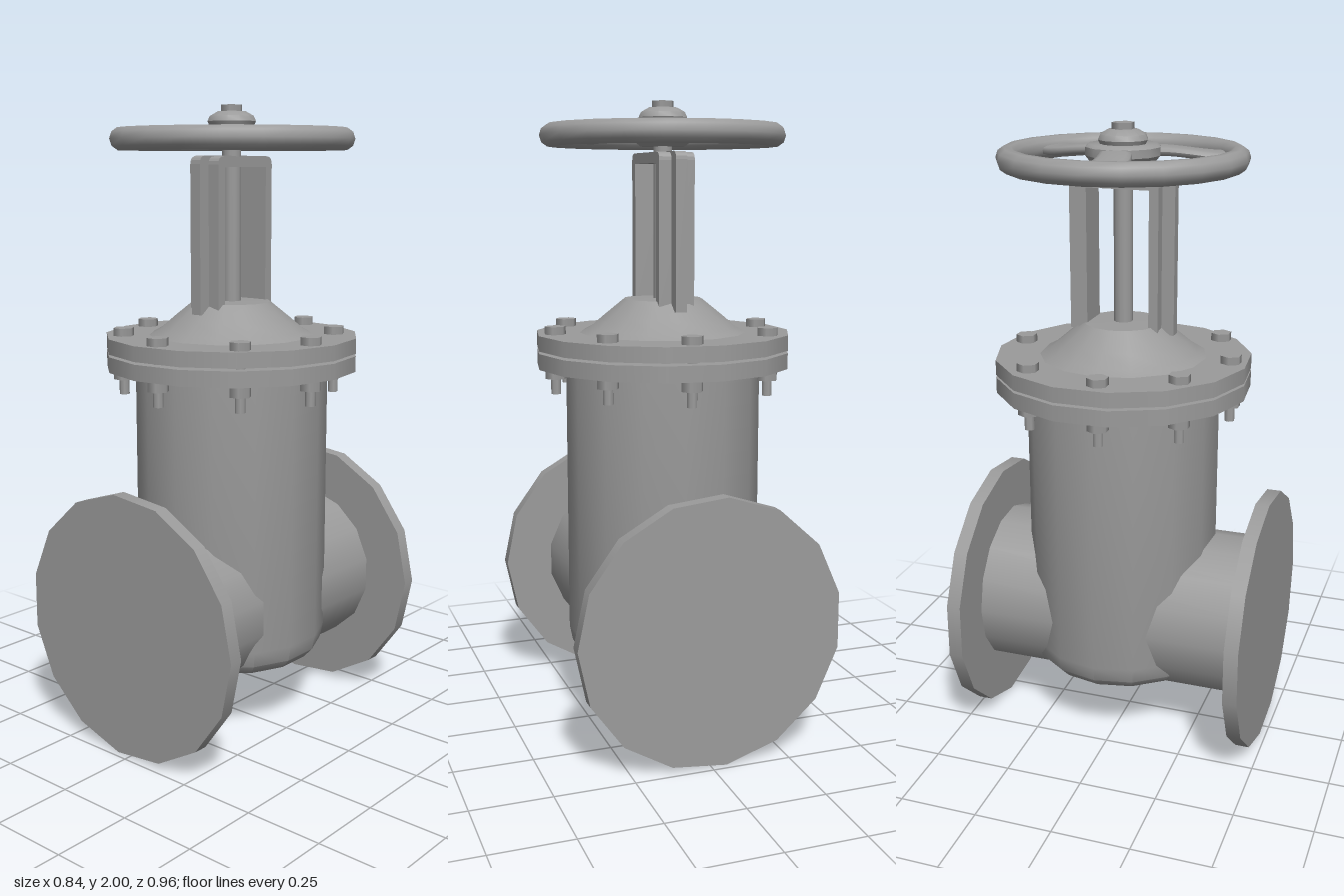
import * as THREE from 'three';
import { toCreasedNormals } from 'three/addons/utils/BufferGeometryUtils.js';

const SIDES = 15;
const material = new THREE.MeshStandardMaterial({ color: 0x9b9b9b });

function add(parent, name, geometry, x = 0, y = 0, z = 0) {
  const mesh = new THREE.Mesh(geometry, material);
  mesh.name = name;
  mesh.position.set(x, y, z);
  parent.add(mesh);
  return mesh;
}

// Cylinder whose first corner lies on +x
function disc(radius, height, sides = SIDES) {
  return new THREE.CylinderGeometry(radius, radius, height, sides, 1, false, Math.PI / 2);
}

// Turned part from [radius, y] pairs, listed bottom to top
function turned(profile, sides = SIDES) {
  const points = profile.map(([r, y]) => new THREE.Vector2(r, y));
  return toCreasedNormals(new THREE.LatheGeometry(points, sides, -Math.PI / 2), 0.65);
}

// Upside-down U in the z-y plane, given a width along x
function arch(outer, inner, bottom, top, innerTop, width, round) {
  const s = new THREE.Shape();
  s.moveTo(-outer, bottom);
  s.lineTo(-outer, top - round);
  s.quadraticCurveTo(-outer, top, -outer + round, top);
  s.lineTo(outer - round, top);
  s.quadraticCurveTo(outer, top, outer, top - round);
  s.lineTo(outer, bottom);
  s.lineTo(inner, bottom);
  s.lineTo(inner, innerTop);
  s.lineTo(-inner, innerTop);
  s.lineTo(-inner, bottom);
  s.closePath();
  const g = new THREE.ExtrudeGeometry(s, { depth: width, bevelEnabled: false, curveSegments: 4 });
  return g.translate(0, 0, -width / 2).rotateY(-Math.PI / 2);
}

// Bowed spoke with a flattened section, running along +x and dropping towards the rim
function spokeGeometry() {
  const g = new THREE.CylinderGeometry(1, 1, 1, 16, 8, true);
  const p = g.attributes.position;
  const flatten = (v) => Math.sign(v) * Math.sqrt(Math.abs(v));
  for (let i = 0; i < p.count; i++) {
    const t = p.getY(i) + 0.5;
    const halfWidth = 0.05 + 0.012 * t;
    const bow = -0.028 * Math.sin(Math.PI * t);
    const drop = 0.025 * t * t * (3 - 2 * t);
    p.setXYZ(i, 0.07 + 0.26 * t, -0.016 * flatten(p.getX(i)) - drop, halfWidth * p.getZ(i) + bow);
  }
  g.computeVertexNormals();
  return g;
}

export function createModel() {
  const model = new THREE.Group();
  model.name = 'gateValve';

  // Horizontal pipe with end flanges
  add(model, 'pipe', new THREE.CylinderGeometry(0.264, 0.264, 0.88, SIDES, 1, true, -Math.PI / 2)
    .rotateX(Math.PI / 2), 0, 0.421, 0);
  for (const side of [1, -1]) {
    add(model, side > 0 ? 'frontFlange' : 'backFlange',
      disc(0.423, 0.045).rotateX(Math.PI / 2), -0.005, 0.421, side * 0.4575);
  }

  // Everything above shares one vertical axis
  const upper = new THREE.Group();
  upper.name = 'upperAssembly';
  upper.position.set(-0.005, 0, -0.02);
  model.add(upper);

  add(upper, 'body', turned([[0, 0.21], [0.215, 0.21], [0.27, 0.228], [0.3, 0.26],
    [0.31, 0.31], [0.31, 1.19]]));
  add(upper, 'bodyFlange', disc(0.407, 0.05), 0, 1.203, 0);
  add(upper, 'bonnetFlange', disc(0.407, 0.048), 0, 1.26, 0);
  add(upper, 'bonnet', turned([[0.267, 1.283], [0.235, 1.3], [0.19, 1.338], [0.125, 1.39], [0, 1.392]]));

  // Bolts around the flange pair, unevenly spaced
  const boltPlaces = [[0.345, 0.035], [0.25, 0.255], [0.005, 0.35], [-0.235, 0.255],
    [-0.34, 0.035], [-0.27, -0.215], [0.03, -0.345], [0.25, -0.215]];
  for (const [x, z] of boltPlaces) {
    const bolt = new THREE.Group();
    bolt.name = 'bolt';
    bolt.position.set(x, 0, z);
    add(bolt, 'boltHead', disc(0.034, 0.028, 6), 0, 1.295, 0);
    add(bolt, 'boltShank', disc(0.016, 0.19, 8), 0, 1.19, 0);
    add(bolt, 'boltNut', disc(0.034, 0.035, 6), 0, 1.161, 0);
    upper.add(bolt);
  }

  // Yoke with a T-shaped section
  add(upper, 'yokePlate', arch(0.13, 0.1, 1.37, 1.843, 1.81, 0.115, 0.025));
  add(upper, 'yokeRib', arch(0.17, 0.12, 1.36, 1.845, 1.82, 0.036, 0.025));

  // Stem and its retaining nut
  add(upper, 'stem', disc(0.03, 0.59, 12), 0, 1.675, 0);
  add(upper, 'stemTip', disc(0.035, 0.04, 6), 0, 1.98, 0);
  add(upper, 'wheelNut', turned([[0.07, 1.935], [0.077, 1.95], [0.07, 1.966], [0.045, 1.98], [0, 1.982]], 12));

  // Handwheel
  const wheel = new THREE.Group();
  wheel.name = 'handwheel';
  upper.add(wheel);
  add(wheel, 'rim', new THREE.TorusGeometry(0.349, 0.036, 10, 20).rotateX(Math.PI / 2), 0, 1.896, 0);
  add(wheel, 'hub', turned([[0, 1.862], [0.07, 1.862], [0.1, 1.885], [0.116, 1.905],
    [0.116, 1.93], [0.105, 1.938], [0, 1.938]], 12));
  const spoke = spokeGeometry();
  for (let i = 0; i < 3; i++) {
    add(wheel, 'spoke', spoke, 0, 1.916, 0).rotation.y = Math.PI + (i * Math.PI * 2) / 3;
  }

  return model;
}
